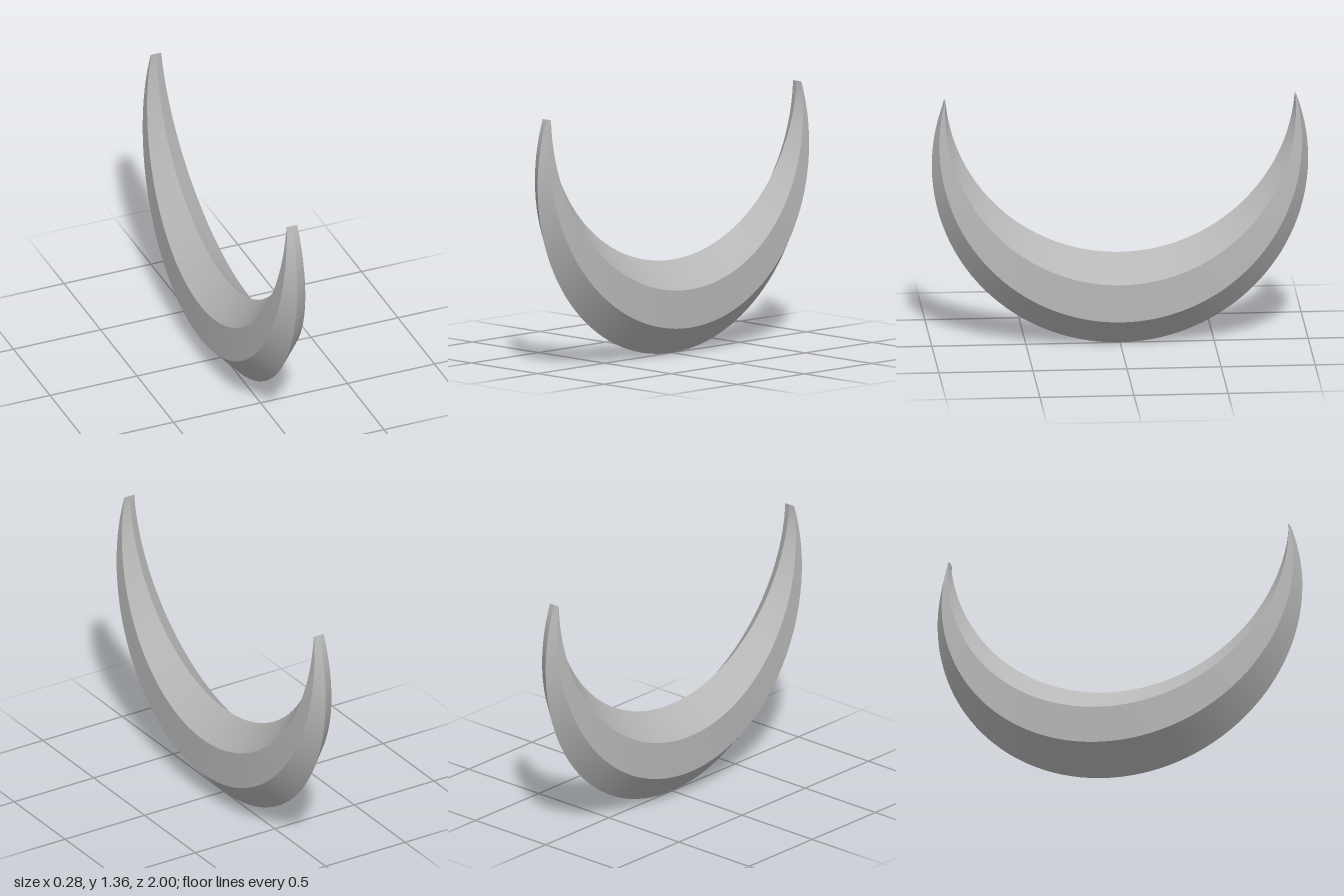
import * as THREE from 'three';

const STEPS = 72;
const TIP_Y = 1.355;

// Four arcs run from tip to tip: lowest height and z at the tip, for each ridge line
const arc = (low, tipZ) => {
  const centre = (tipZ ** 2 + TIP_Y ** 2 - low ** 2) / (2 * (TIP_Y - low));
  const radius = centre - low;
  const sweep = Math.PI / 2 + Math.asin((TIP_Y - centre) / radius);
  return (s) => [centre - radius * Math.cos(s * sweep), radius * Math.sin(s * sweep)];
};
const keel = arc(0, 0.935);
const lower = arc(0.15, 0.933);
const upper = arc(0.355, 0.93);
const inner = arc(0.5, 0.928);

// Hexagonal section, going round from the outer keel
const corners = [[keel, 0], [lower, 1], [upper, 1], [inner, 0], [upper, -1], [lower, -1]];
const corner = (k, s) => {
  const [curve, side] = corners[k % 6];
  const [y, z] = curve(s);
  return [side * (0.03 + 0.108 * Math.cos((s * Math.PI) / 2)), y, z];
};

function surface(positions, index) {
  const g = new THREE.BufferGeometry();
  g.setAttribute('position', new THREE.Float32BufferAttribute(positions, 3));
  g.setIndex(index);
  g.computeVertexNormals();
  return g;
}

// One facet swept along the crescent, smooth lengthwise and sharp at its ridges
function facet(k) {
  const positions = [], index = [];
  for (let i = 0; i <= STEPS; i++) {
    const s = (2 * i) / STEPS - 1;
    positions.push(...corner(k, s), ...corner(k + 1, s));
    if (i < STEPS) {
      const a = 2 * i;
      index.push(a, a + 1, a + 3, a, a + 3, a + 2);
    }
  }
  return surface(positions, index);
}

// Small hexagon closing a tip
function tipCap(s) {
  const positions = corners.flatMap((_, k) => corner(k, s));
  const index = [];
  for (let k = 1; k < 5; k++) index.push(0, ...(s > 0 ? [k, k + 1] : [k + 1, k]));
  return surface(positions, index);
}

export function createModel() {
  const group = new THREE.Group();
  group.name = 'crescent';
  const grey = new THREE.MeshStandardMaterial({ color: 0xb8b8b8 });
  grey.name = 'light grey';

  const add = (name, geometry) => {
    const mesh = new THREE.Mesh(geometry, grey);
    mesh.name = name;
    group.add(mesh);
  };
  const names = ['leftOuterBevel', 'leftSide', 'leftInnerBevel', 'rightInnerBevel', 'rightSide', 'rightOuterBevel'];
  names.forEach((name, k) => add(name, facet(k)));
  add('frontTip', tipCap(1));
  add('backTip', tipCap(-1));
  return group;
}
